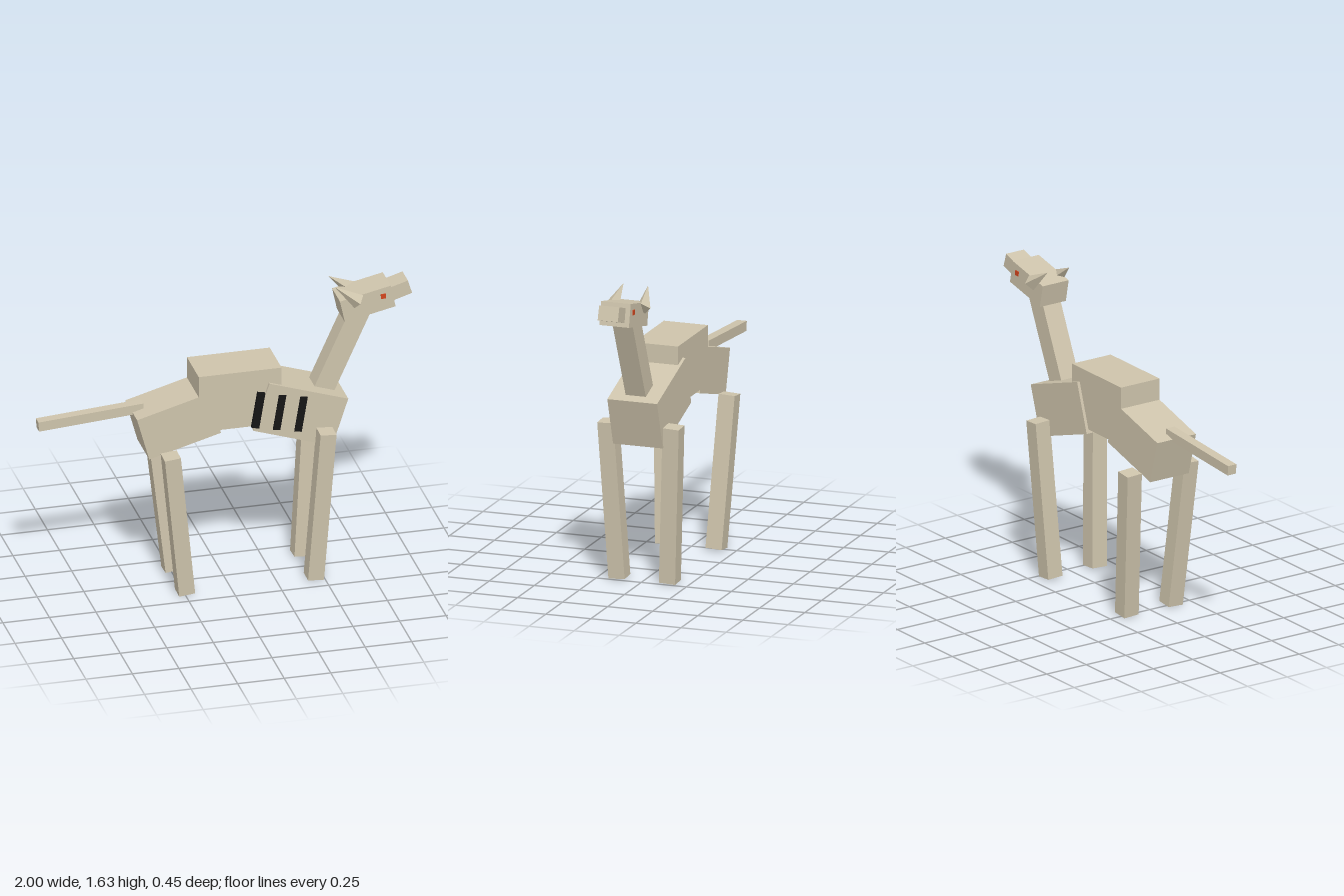
import * as THREE from 'three';

const tan = new THREE.MeshStandardMaterial({ color: 0xcdc3ab, flatShading: true });
const black = new THREE.MeshStandardMaterial({ color: 0x151515, flatShading: true });
const red = new THREE.MeshStandardMaterial({ color: 0xd2451e, flatShading: true });
const UP = new THREE.Vector3(0, 1, 0);

export function createModel() {
  const model = new THREE.Group();

  // Box centred at (x, y, z), tilted in the side plane by some degrees
  function box(name, size, [x, y, z = 0], degrees = 0, material = tan) {
    const mesh = new THREE.Mesh(new THREE.BoxGeometry(...size), material);
    mesh.name = name;
    mesh.position.set(x, y, z);
    mesh.rotation.z = THREE.MathUtils.degToRad(degrees);
    model.add(mesh);
  }

  // Upright geometry of unit height, stretched from one point to another
  function span(name, geometry, from, to) {
    const a = new THREE.Vector3(...from);
    const b = new THREE.Vector3(...to);
    const dir = b.clone().sub(a);
    const mesh = new THREE.Mesh(geometry, tan);
    mesh.name = name;
    mesh.position.copy(a).add(b).multiplyScalar(0.5);
    mesh.scale.y = dir.length();
    mesh.quaternion.setFromUnitVectors(UP, dir.normalize());
    model.add(mesh);
  }

  // Body
  box('torso', [0.445, 0.32, 0.244], [0.058, 1.065]);
  box('hindquarters', [0.4, 0.244, 0.244], [-0.27, 0.952], 15.5);
  box('chest', [0.445, 0.276, 0.276], [0.38, 0.947], -18.2);
  box('tail', [0.565, 0.053, 0.053], [-0.717, 1.014], 4.1);

  // Neck and head
  box('neck', [0.112, 0.5, 0.112], [0.622, 1.25], -24.4);
  box('head', [0.279, 0.125, 0.164], [0.754, 1.516], 12.2);
  box('snout', [0.12, 0.078, 0.112], [0.93, 1.557], 17);

  // Flank stripes, on one side only
  [[0.152, 1.0], [0.265, 0.976], [0.38, 0.952]].forEach(([x, y], i) =>
    box('stripe' + (i + 1), [0.04, 0.2, 0.022], [x, y, 0.131], -9.5, black));

  // Mirrored parts
  const legShape = new THREE.BoxGeometry(0.086, 1, 0.09);
  const earShape = new THREE.ConeGeometry(0.041, 1, 4);
  for (const [side, s] of [['Near', 1], ['Far', -1]]) {
    span('frontLeg' + side, legShape, [0.449, 0.005, 0.14 * s], [0.506, 0.857, 0.181 * s]);
    span('hindLeg' + side, legShape, [-0.243, 0.005, 0.14 * s], [-0.33, 0.817, 0.18 * s]);
    span('ear' + side, earShape, [0.705, 1.537, 0.086 * s], [0.58, 1.628, 0.068 * s]);
    box('eye' + side, [0.027, 0.027, 0.012], [0.837, 1.551, 0.08 * s], 5, red);
  }

  return model;
}
